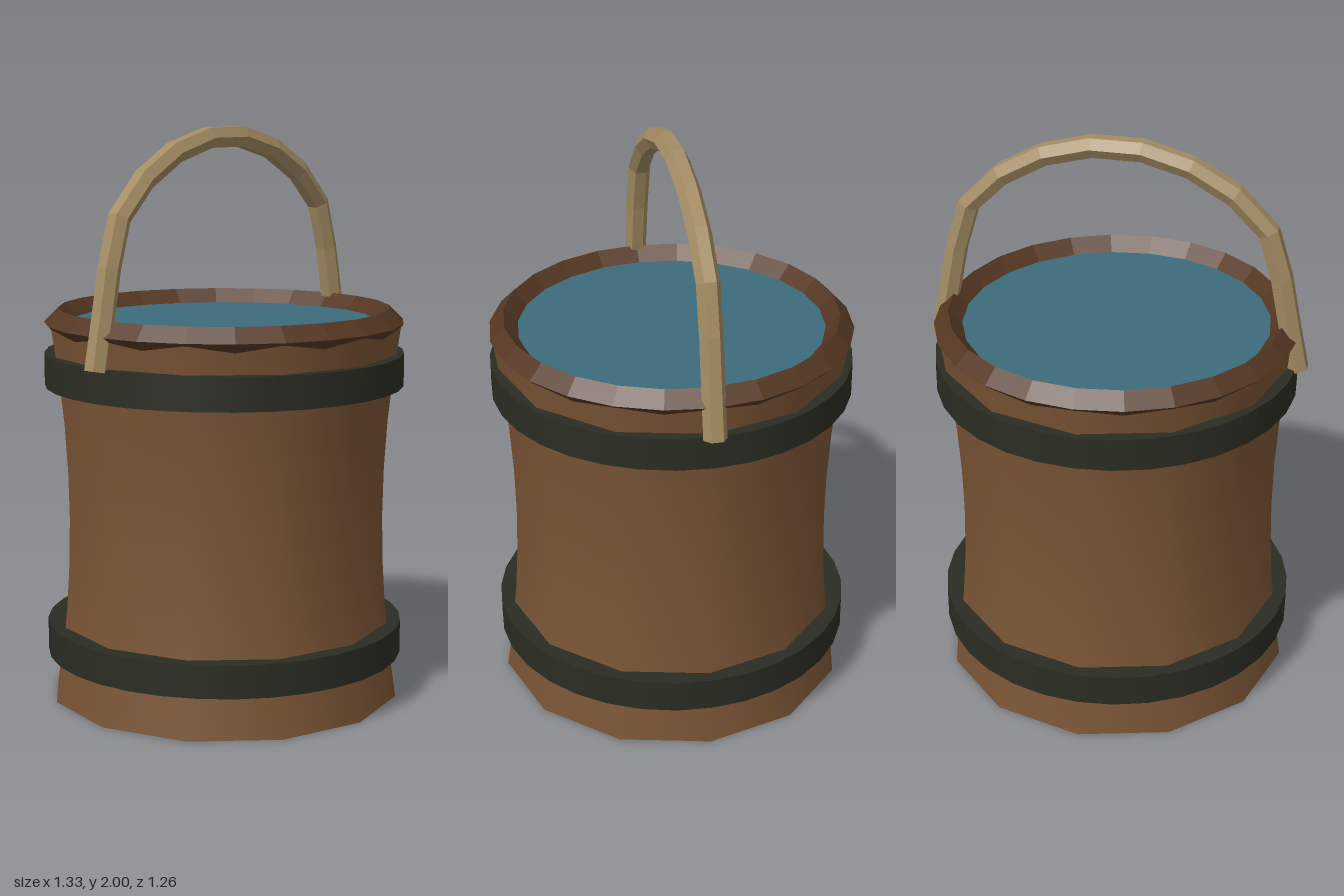
import * as THREE from 'three';

const mat = (name, color, extra = {}) => {
  const m = new THREE.MeshStandardMaterial({ color, ...extra });
  m.name = name;
  return m;
};

export function createModel() {
  const wood = mat('wood', 0x7a5535);
  const darkWood = mat('dark wood', 0x553722, { flatShading: true });
  const iron = mat('iron', 0x2b2d23);
  const rope = mat('pale handle', 0xa38c63, { flatShading: true });
  const water = mat('water', 0x3d6b7b);

  const bucket = new THREE.Group();
  bucket.name = 'bucket';
  const add = (name, geometry, material, y = 0) => {
    const mesh = new THREE.Mesh(geometry, material);
    mesh.name = name;
    mesh.position.y = y;
    bucket.add(mesh);
    return mesh;
  };

  // Waisted twelve-sided body
  const profile = [];
  for (let i = 0; i <= 8; i++) {
    const t = i / 4 - 1;
    profile.push(new THREE.Vector2(0.565 + 0.056 * t * t, 0.66 + 0.66 * t));
  }
  add('body', new THREE.LatheGeometry(profile, 12), wood);
  const base = add('base', new THREE.CircleGeometry(0.621, 12), wood);
  base.rotation.x = Math.PI / 2;

  // Diamond-section rim
  const rim = add('rim', new THREE.TorusGeometry(0.58, 0.05, 4, 24), darkWood, 1.33);
  rim.rotation.x = -Math.PI / 2;

  // Water surface
  const surface = add('water', new THREE.CircleGeometry(0.54, 24), water, 1.332);
  surface.rotation.x = -Math.PI / 2;

  // Iron hoops
  add('lowerHoop', new THREE.CylinderGeometry(0.63, 0.63, 0.115, 32), iron, 0.21);
  add('upperHoop', new THREE.CylinderGeometry(0.63, 0.63, 0.115, 32), iron, 1.167);

  // Hexagonal handle, mirrored from one half of its path
  const half = [[0.632, 1.217], [0.59, 1.42], [0.55, 1.615], [0.505, 1.735],
    [0.42, 1.82], [0.24, 1.925], [0.09, 1.965]];
  const points = [...half.map(([x, y]) => [-x, y]), ...half.slice().reverse()]
    .map(([x, y]) => new THREE.Vector3(x, y, 0));
  const path = new THREE.CatmullRomCurve3(points);
  add('handle', new THREE.TubeGeometry(path, 13, 0.04, 6, false), rope);

  // Handle ends
  for (const t of [0, 1]) {
    const end = add('handleEnd', new THREE.CircleGeometry(0.04, 6, Math.PI / 2), rope);
    end.position.copy(path.getPointAt(t));
    const out = path.getTangentAt(t).multiplyScalar(t ? 1 : -1);
    const side = new THREE.Vector3(0, 0, 1);
    end.quaternion.setFromRotationMatrix(
      new THREE.Matrix4().makeBasis(side.clone().cross(out), side, out));
  }

  return bucket;
}
